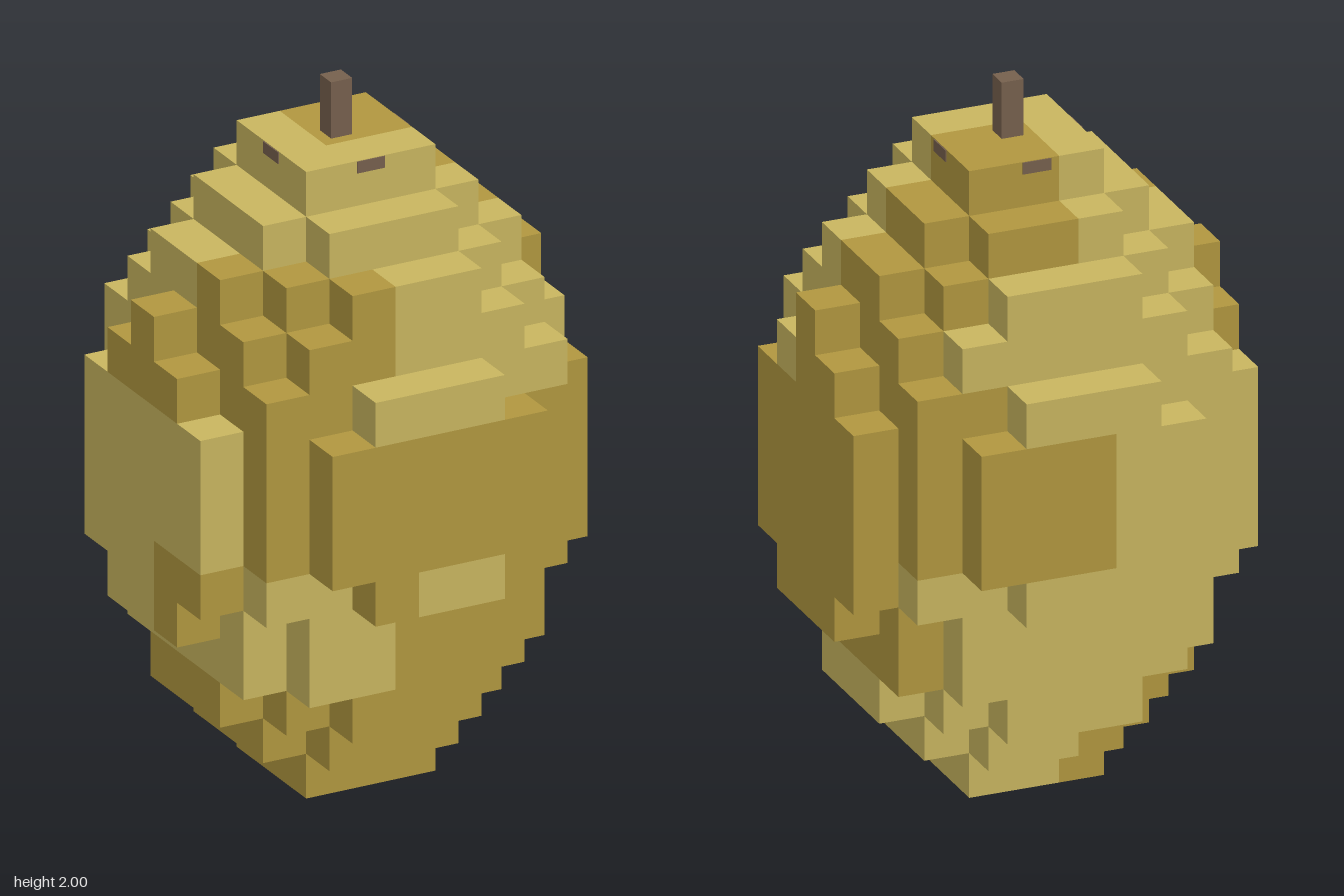
import * as THREE from 'three';
import { mergeGeometries } from 'three/addons/utils/BufferGeometryUtils.js';

const CELL = 0.1311;

// Half width in x (in cells) of each layer from the bottom up, listed for |z| = 0, 1, 2...
const mid = [4, 4, 4, 3, 2];
const LAYERS = [
  [1, 1], [2, 2, 1], [3, 3, 2, 1], [3, 3, 3, 2], [4, 4, 3, 2], [4, 4, 4, 3, 1],
  mid, mid, mid,
  [4, 4, 3, 3, 1], [4, 3, 3, 2], [3, 3, 2, 1], [2, 2, 1], [1, 1],
];

function filled(x, l, z) {
  const row = LAYERS[l];
  return row !== undefined && Math.abs(z) < row.length && Math.abs(x) <= row[Math.abs(z)];
}

// Patches of the darker skin, one rule for each quarter of the fruit
function isDark(x, l, z) {
  const belt = l >= 6 && l <= 8;
  if (x >= 0 && z >= 1) return l <= 8 && !(l === 5 && z === 4) && !(l === 2 && x === 3);
  if (x >= 0) {
    if (z === -4) return belt;
    if (z === -3) return belt || l === 9;
    return l >= 3;
  }
  if (z <= 0) return (l <= 2 && z > -3) || (x === -4 && (l === 9 || l === 10));
  if (l <= 2) return true;
  if (l <= 4) return x === -4;
  if (l === 5) return x === -4 || z === 4;
  if (belt) return x !== -4;
  if (l === 9) return z !== 4;
  return l <= 11;
}

// The six sides of a cell as outward squares
function makeSides() {
  const square = () => new THREE.PlaneGeometry(CELL, CELL).translate(0, 0, CELL / 2);
  return [
    { d: [0, 0, 1], g: square() },
    { d: [0, 0, -1], g: square().rotateY(Math.PI) },
    { d: [1, 0, 0], g: square().rotateY(Math.PI / 2) },
    { d: [-1, 0, 0], g: square().rotateY(-Math.PI / 2) },
    { d: [0, 1, 0], g: square().rotateX(-Math.PI / 2) },
    { d: [0, -1, 0], g: square().rotateX(Math.PI / 2) },
  ];
}

export function createModel() {
  const material = (name, color) => {
    const m = new THREE.MeshStandardMaterial({ color });
    m.name = name;
    return m;
  };
  const light = material('lightSkin', 0xc8b55f);
  const dark = material('darkSkin', 0xb1973f);
  const brown = material('stemBrown', 0x76604d);

  const model = new THREE.Group();
  model.name = 'blockFruit';
  const add = (name, geometry, mat) => {
    const mesh = new THREE.Mesh(geometry, mat);
    mesh.name = name;
    model.add(mesh);
    return mesh;
  };

  // Fruit body: only the outer sides of the filled cells
  const lightFaces = [];
  const darkFaces = [];
  const sides = makeSides();
  for (let l = 0; l < LAYERS.length; l++) {
    for (let z = -4; z <= 4; z++) {
      for (let x = -4; x <= 4; x++) {
        if (!filled(x, l, z)) continue;
        const faces = isDark(x, l, z) ? darkFaces : lightFaces;
        for (const { d, g } of sides) {
          if (filled(x + d[0], l + d[1], z + d[2])) continue;
          faces.push(g.clone().translate(x * CELL, (l + 0.5) * CELL, z * CELL));
        }
      }
    }
  }
  add('lightSkinPatches', mergeGeometries(lightFaces), light);
  add('darkSkinPatches', mergeGeometries(darkFaces), dark);

  // Stem, and the crossed roots whose ends just show at the top block
  add('stem', new THREE.BoxGeometry(0.064, 0.2, 0.064), brown).position.y = 1.9;
  add('stemRootAcross', new THREE.BoxGeometry(0.4, 0.034, 0.084), brown).position.y = 1.817;
  add('stemRootDeep', new THREE.BoxGeometry(0.084, 0.034, 0.4), brown).position.y = 1.817;
  return model;
}
